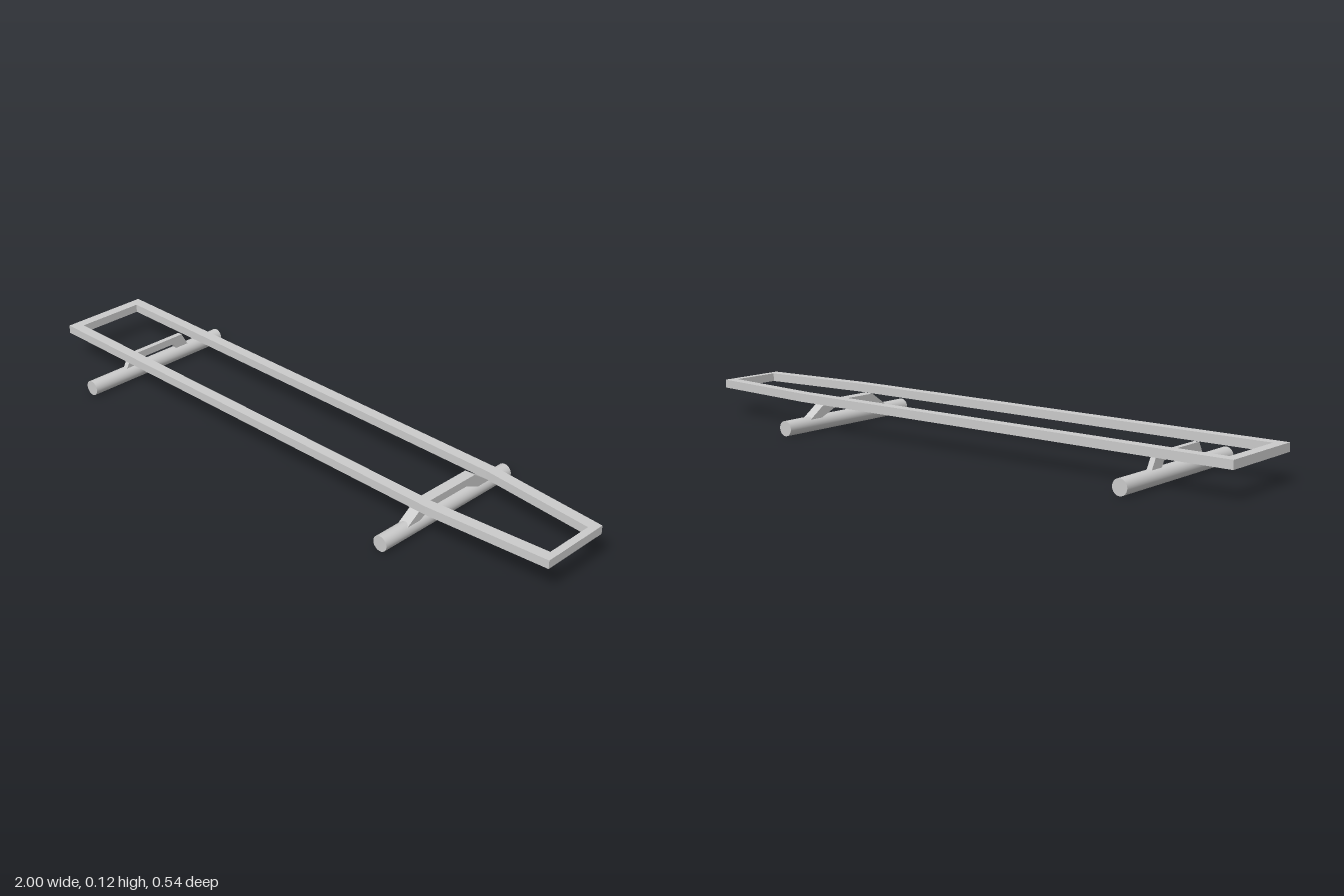
import * as THREE from 'three';

const material = new THREE.MeshStandardMaterial({ color: 0xcccccc, side: THREE.DoubleSide });
const points = (list) => list.map(([x, y]) => new THREE.Vector2(x, y));

// Mirrors a half outline across the first or second coordinate
const mirror = (half, sx, sy) => points([...half, ...half.map(([x, y]) => [x * sx, y * sy]).reverse()]);

function extrude(shape, depth) {
  return new THREE.ExtrudeGeometry(shape, { depth, bevelEnabled: false });
}

function addMesh(parent, name, geometry) {
  const mesh = new THREE.Mesh(geometry, material);
  mesh.name = name;
  parent.add(mesh);
  return mesh;
}

// Axle tube with the bridge-shaped bracket that carries the frame
function createAxle(name, x, bracketWidth, halfProfile) {
  const axle = new THREE.Group();
  axle.name = name;
  axle.position.x = x;

  const tube = addMesh(axle, 'axleTube', new THREE.CylinderGeometry(0.0245, 0.0245, 0.544, 32));
  tube.rotation.x = Math.PI / 2;
  tube.position.y = 0.025;

  const bracket = addMesh(axle, 'axleBracket', extrude(new THREE.Shape(mirror(halfProfile, -1, 1)), bracketWidth));
  bracket.rotation.y = Math.PI / 2;
  bracket.position.x = -bracketWidth / 2;
  return axle;
}

export function createModel() {
  const model = new THREE.Group();
  model.name = 'chassis';

  // Ladder frame tapering towards one end
  const outline = new THREE.Shape(mirror([[-1, 0.15], [0.6, 0.15], [1, 0.117]], 1, -1));
  outline.holes.push(new THREE.Path(mirror([[-0.967, 0.115], [0.6, 0.115], [0.977, 0.083]], 1, -1)));
  const frame = addMesh(model, 'frame', extrude(outline, 0.027));
  frame.rotation.x = -Math.PI / 2;
  frame.position.y = 0.089;

  // Wide bracket at the tapered end, narrow one at the square end
  model.add(
    createAxle('taperedEndAxle', 0.545, 0.035, [[0.072, 0.066], [0.128, 0.042], [0.178, 0.042], [0.108, 0.09]]),
    createAxle('squareEndAxle', -0.73, 0.017, [[0.072, 0.066], [0.085, 0.042], [0.135, 0.042], [0.108, 0.09]]),
  );
  return model;
}
